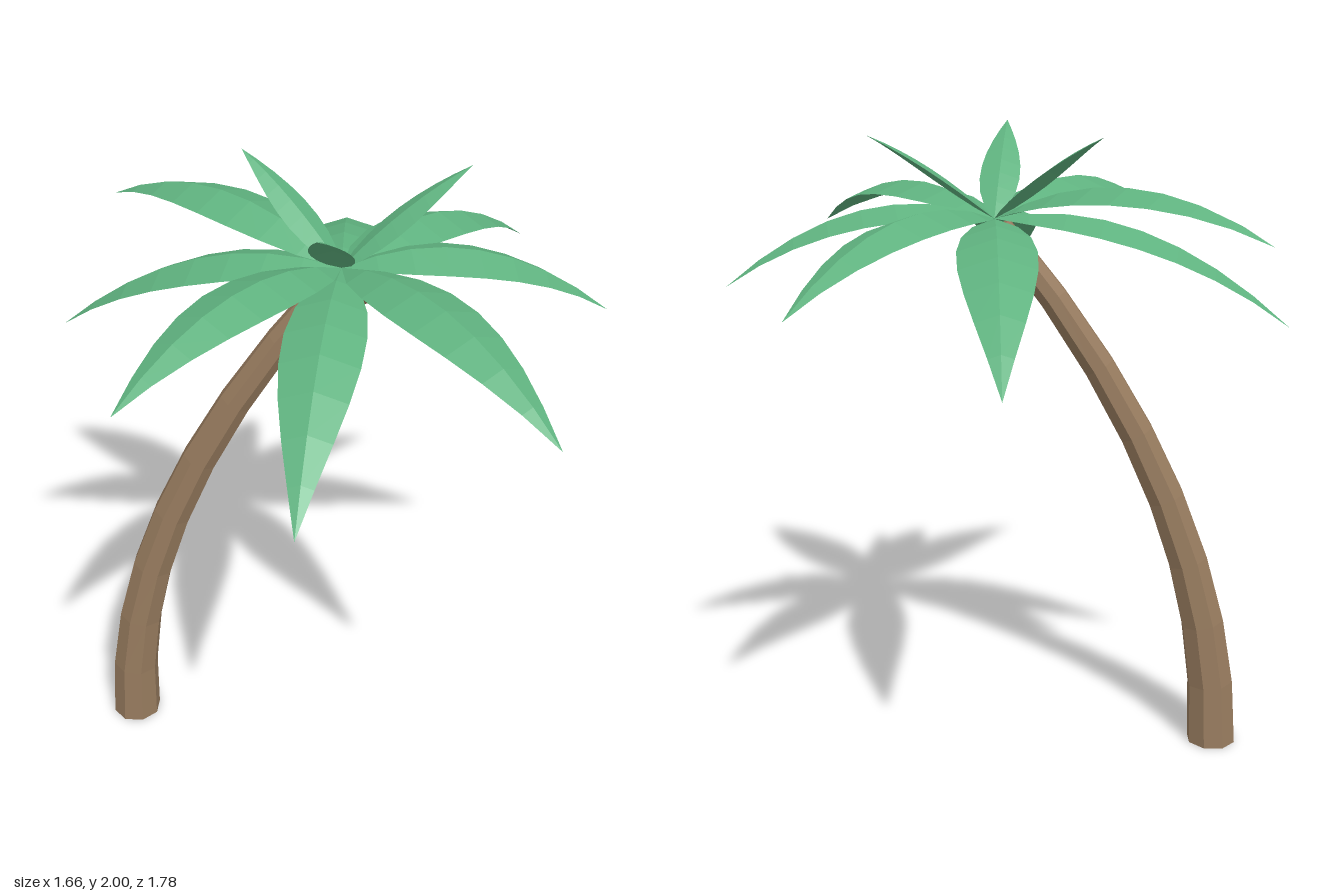
import * as THREE from 'three';

const leafGreen = new THREE.MeshStandardMaterial({ color: 0x5fb27f, side: THREE.DoubleSide });
const barkBrown = new THREE.MeshStandardMaterial({ color: 0x987c5f });
const nutBrown = new THREE.MeshStandardMaterial({ color: 0x9c7657 });

const CROWN = new THREE.Vector3(0.04, 1.74, -0.01);

// Faceted look: every triangle gets its own normal
function faceted(geometry) {
  const g = geometry.index ? geometry.toNonIndexed() : geometry;
  g.computeVertexNormals();
  return g;
}

// Eight-sided tapering trunk: a cylinder bent along a curve
function makeTrunk() {
  const z0 = -0.008;
  const curve = new THREE.QuadraticBezierCurve(
    new THREE.Vector2(-0.68, 0), new THREE.Vector2(-0.68, 0.85), new THREE.Vector2(0.025, 1.715));
  const g = new THREE.CylinderGeometry(0.041, 0.081, 1, 8, 8);
  g.rotateY(Math.PI / 8);
  const p = g.attributes.position;
  for (let i = 0; i < p.count; i++) {
    const t = p.getY(i) + 0.5;
    const c = curve.getPoint(t);
    const d = curve.getTangent(t);
    const x = p.getX(i);
    p.setXYZ(i, c.x + x * d.y, c.y - x * d.x, z0 + p.getZ(i));
  }
  const mesh = new THREE.Mesh(faceted(g), barkBrown);
  mesh.name = 'trunk';
  return mesh;
}

// Frond: arched midrib with two halves folded down from it
function makeFrond([tx, ty, tz], halfWidth, arch) {
  const n = 8;
  const dir = new THREE.Vector3(tx - CROWN.x, 0, tz - CROWN.z).normalize();
  const side = new THREE.Vector3(dir.z, 0, -dir.x);
  const rise = ty - CROWN.y + arch;
  const verts = [];
  const index = [];
  for (let i = 0; i <= n; i++) {
    const s = i / n;
    const w = halfWidth * Math.sin(Math.PI * Math.pow(s, 0.78));
    const x = THREE.MathUtils.lerp(CROWN.x, tx, s);
    const y = CROWN.y + rise * s - arch * s * s;
    const z = THREE.MathUtils.lerp(CROWN.z, tz, s);
    for (const k of [-1, 0, 1]) {
      verts.push(x + side.x * w * k, y - Math.abs(k) * w * 0.33, z + side.z * w * k);
    }
    if (i === n) continue;
    for (let k = 0; k < 2; k++) {
      const a = i * 3 + k;
      const b = a + 1;
      if (i > 0) index.push(a, b, a + 3);
      else if (k === 0) index.push(b, b + 3, a + 3);
      else index.push(a, b + 3, a + 3);
      if (i > 0 && i < n - 1) index.push(b, b + 3, a + 3);
      else if (i === n - 1 && k === 0) index.push(b, b + 3, a + 3);
    }
  }
  const g = new THREE.BufferGeometry();
  g.setAttribute('position', new THREE.Float32BufferAttribute(verts, 3));
  g.setIndex(index);
  return new THREE.Mesh(faceted(g), leafGreen);
}

export function createModel() {
  const model = new THREE.Group();
  model.name = 'palmTree';
  model.add(makeTrunk());

  // Long drooping fronds, given by their tips
  const fronds = new THREE.Group();
  fronds.name = 'fronds';
  const longTips = [
    [0.015, 1.41, -0.895], [0.59, 1.565, -0.67], [0.83, 1.56, -0.155], [0.635, 1.63, 0.755],
    [-0.02, 1.42, 0.89], [-0.495, 1.665, 0.73], [-0.835, 1.44, -0.175], [-0.715, 1.735, -0.515],
  ];
  longTips.forEach((tip, i) => {
    const frond = makeFrond(tip, 0.115, 0.5);
    frond.name = `longFrond${i + 1}`;
    fronds.add(frond);
  });

  // Short upright fronds
  const shortTips = [[-0.27, 2, -0.245], [0.405, 2, -0.165], [0, 2, 0.385]];
  shortTips.forEach((tip, i) => {
    const frond = makeFrond(tip, 0.062, 0.1);
    frond.name = `shortFrond${i + 1}`;
    fronds.add(frond);
  });
  model.add(fronds);

  // Coconuts under the crown
  const nuts = new THREE.Group();
  nuts.name = 'coconuts';
  const spots = [[0.055, 1.645, 0.065], [0.11, 1.65, -0.04], [0.01, 1.645, -0.09]];
  spots.forEach((spot, i) => {
    const nut = new THREE.Mesh(faceted(new THREE.IcosahedronGeometry(0.04, 0)), nutBrown);
    nut.name = `coconut${i + 1}`;
    nut.position.set(...spot);
    nut.rotation.y = i * 0.7;
    nuts.add(nut);
  });
  model.add(nuts);
  return model;
}
